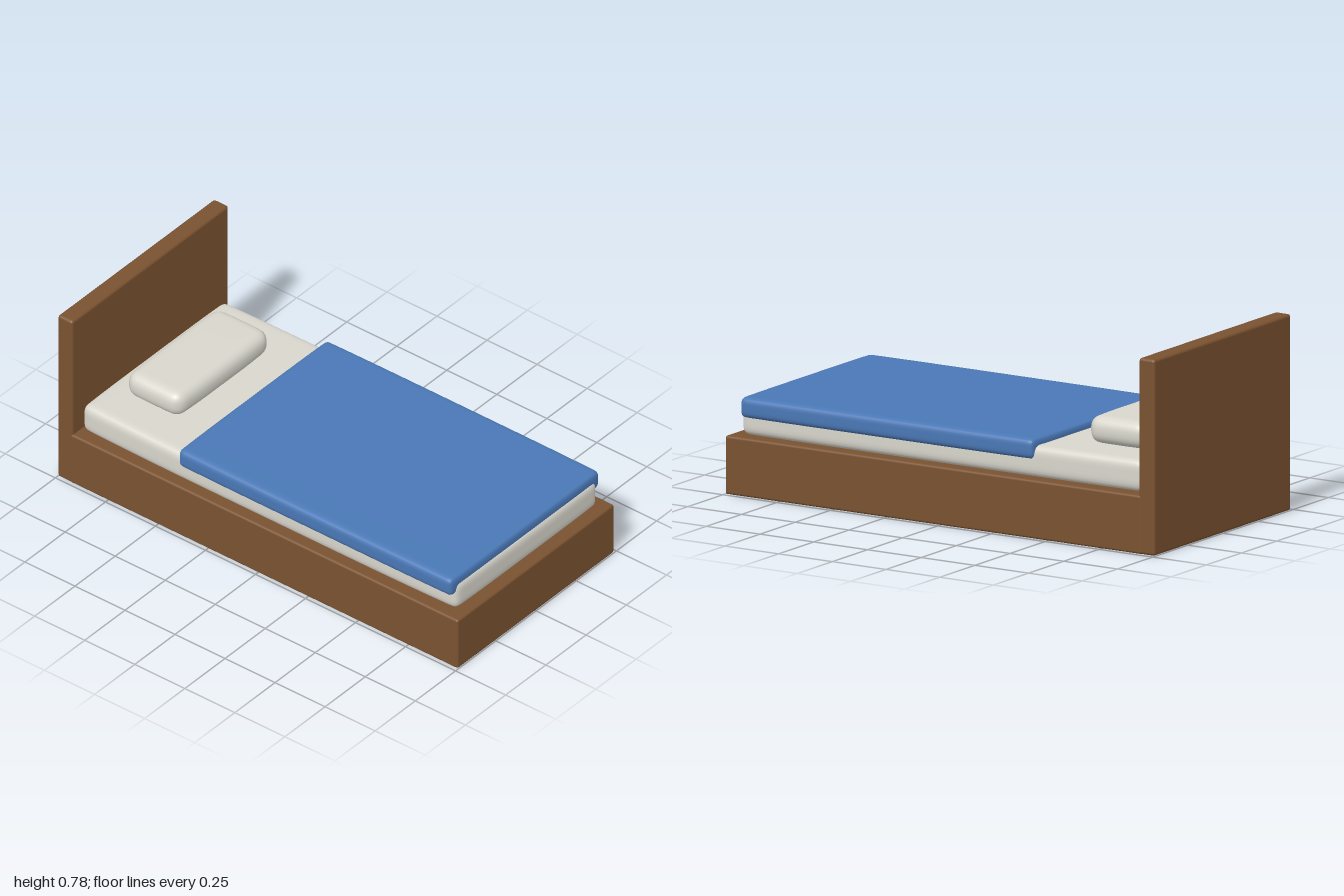
import * as THREE from 'three';
import { mergeVertices } from 'three/addons/utils/BufferGeometryUtils.js';
import { RoundedBoxGeometry } from 'three/addons/geometries/RoundedBoxGeometry.js';

const material = (name, color) => {
  const m = new THREE.MeshStandardMaterial({ color });
  m.name = name;
  return m;
};

// Rounded box whose sides swell gently towards the middle, like stuffing.
// round = corner radii [x, y, z], puff = swelling of [x, y, z]
function softBox(w, h, d, round, puff) {
  let g = new THREE.BoxGeometry(2, 2, 2, 32, 12, 32);
  g.deleteAttribute('normal');
  g.deleteAttribute('uv');
  g = mergeVertices(g);
  const half = [w / 2, h / 2, d / 2];
  const pos = g.attributes.position;
  const v = new THREE.Vector3();
  for (let i = 0; i < pos.count; i++) {
    v.fromBufferAttribute(pos, i);
    // crowd the grid lines towards the edges, then round the corners
    const p = v.toArray().map((t, k) => Math.sin(t * Math.PI / 2) * half[k]);
    const core = p.map((c, k) => THREE.MathUtils.clamp(c, round[k] - half[k], half[k] - round[k]));
    const off = new THREE.Vector3(...p.map((c, k) => (c - core[k]) / round[k])).normalize();
    const q = core.map((c, k) => c + off.getComponent(k) * round[k]);
    // pull each side in where it is far from the middle
    const s = q.map((c, k) => (c / half[k]) ** 4);
    pos.setXYZ(i,
      q[0] * (1 - puff[0] * s[2]),
      q[1] * (1 - puff[1] * (s[0] + s[2]) / 2),
      q[2] * (1 - puff[2] * s[0]));
  }
  g.computeVertexNormals();
  return g;
}

export function createModel() {
  const wood = material('brown wood', 0x7a5230);
  const linen = material('off-white linen', 0xd8d6cc);
  const blue = material('blue blanket', 0x4a78b6);

  const bed = new THREE.Group();
  bed.name = 'bed';
  const add = (name, geometry, mat, y, z) => {
    const mesh = new THREE.Mesh(geometry, mat);
    mesh.name = name;
    mesh.position.set(0, y, z);
    bed.add(mesh);
  };

  // Wooden base and headboard
  add('bedBase', new RoundedBoxGeometry(0.974, 0.234, 1.94, 3, 0.01), wood, 0.117, 0.03);
  add('headboard', new RoundedBoxGeometry(0.974, 0.784, 0.074, 3, 0.012), wood, 0.392, -0.963);

  // Bedding
  add('mattress', softBox(0.9, 0.126, 1.88, [0.03, 0.035, 0.03], [0.02, 0, 0.004]), linen, 0.297, 0.02);
  add('blanket', softBox(0.934, 0.084, 1.37, [0.025, 0.025, 0.018], [0.006, 0.03, 0.004]), blue, 0.348, 0.265);
  add('pillow', softBox(0.584, 0.112, 0.284, [0.045, 0.048, 0.045], [0.03, 0.1, 0.05]), linen, 0.414, -0.69);

  return bed;
}
